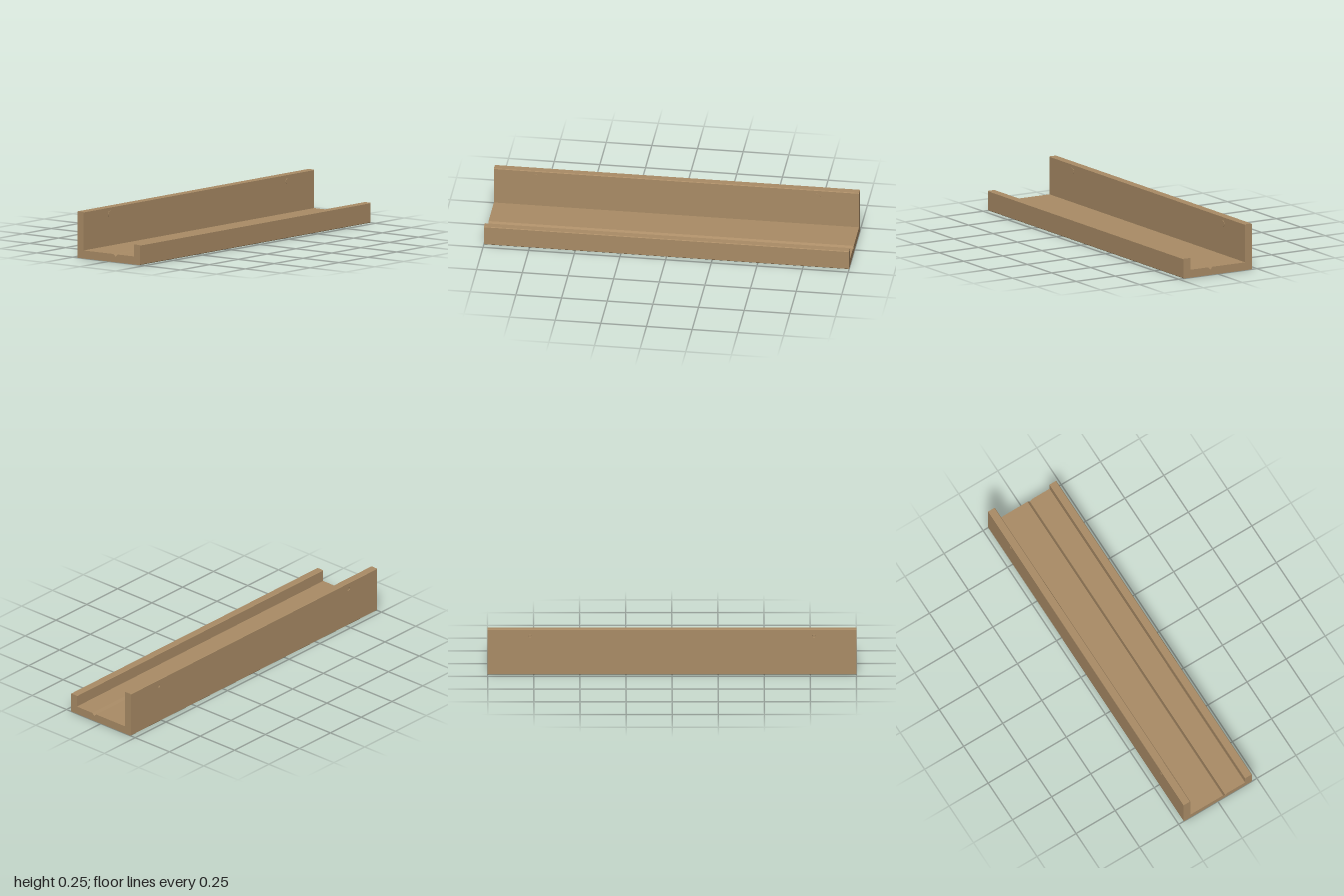
import * as THREE from 'three';

const wood = new THREE.MeshStandardMaterial({ color: 0xaa8c66 });
wood.name = 'wood';

const LENGTH = 2, BACK = -0.218, WALL = -0.175, FRONT = 0.218, LIP = 0.175;
const TOP = 0.255, PANEL_BOTTOM = 0.19, PANEL_TOP = 0.245;
const SCREW_X = 0.77, SCREW_Y = 0.217, HOLE_R = 0.009, HEAD_R = 0.018;

function part(name, geometry) {
  const mesh = new THREE.Mesh(geometry, wood);
  mesh.name = name;
  return mesh;
}

// Extrudes a [z, y] cross-section along the full length in x
function extrudeAlongX(points) {
  const shape = new THREE.Shape(points.map(([z, y]) => new THREE.Vector2(-z, y)));
  const geometry = new THREE.ExtrudeGeometry(shape, { depth: LENGTH, bevelEnabled: false });
  return geometry.rotateY(Math.PI / 2).translate(-LENGTH / 2, 0, 0);
}

export function createModel() {
  const group = new THREE.Group();
  group.name = 'pictureLedge';
  const c = 0.003; // eased edges

  // Base with plate groove, front lip and lower part of the back wall
  group.add(part('ledgeBody', extrudeAlongX([
    [FRONT - c, 0], [BACK + c, 0], [BACK, c],
    [BACK, PANEL_BOTTOM], [WALL, PANEL_BOTTOM], [WALL, 0.044],
    [0.034, 0.044], [0.048, 0.03], [0.062, 0.044],
    [LIP, 0.044], [LIP, 0.11 - c], [LIP + c, 0.11],
    [FRONT - c, 0.11], [FRONT, 0.11 - c], [FRONT, c],
  ])));

  // Band of the back wall drilled for the two screws
  const band = new THREE.Shape([
    new THREE.Vector2(-1, PANEL_BOTTOM), new THREE.Vector2(1, PANEL_BOTTOM),
    new THREE.Vector2(1, PANEL_TOP), new THREE.Vector2(-1, PANEL_TOP),
  ]);
  for (const side of [-1, 1]) {
    band.holes.push(new THREE.Path().absarc(side * SCREW_X, SCREW_Y, HOLE_R, 0, Math.PI * 2, true));
  }
  const drilled = new THREE.ExtrudeGeometry(band, { depth: WALL - BACK, bevelEnabled: false, curveSegments: 24 });
  group.add(part('drilledBackPanel', drilled.translate(0, 0, BACK)));

  // Eased top edge of the back wall
  group.add(part('backTopEdge', extrudeAlongX([
    [BACK, PANEL_TOP], [BACK, TOP - c], [BACK + c, TOP],
    [WALL - c, TOP], [WALL, TOP - c], [WALL, PANEL_TOP],
  ])));

  // Screw plugs: thin head on the inside, shank ending just inside the rear hole
  for (const side of [-1, 1]) {
    const screw = new THREE.Group();
    screw.name = side > 0 ? 'leftScrew' : 'rightScrew';
    const head = new THREE.CylinderGeometry(HEAD_R, HEAD_R, 0.004, 32).rotateX(Math.PI / 2);
    head.translate(0, 0, WALL);
    const shank = new THREE.CylinderGeometry(0.007, 0.007, 0.038, 24).rotateX(Math.PI / 2);
    shank.translate(0, 0, WALL - 0.02);
    screw.add(part('screwHead', head), part('screwShank', shank));
    screw.position.set(side * SCREW_X, SCREW_Y, 0);
    group.add(screw);
  }
  return group;
}
